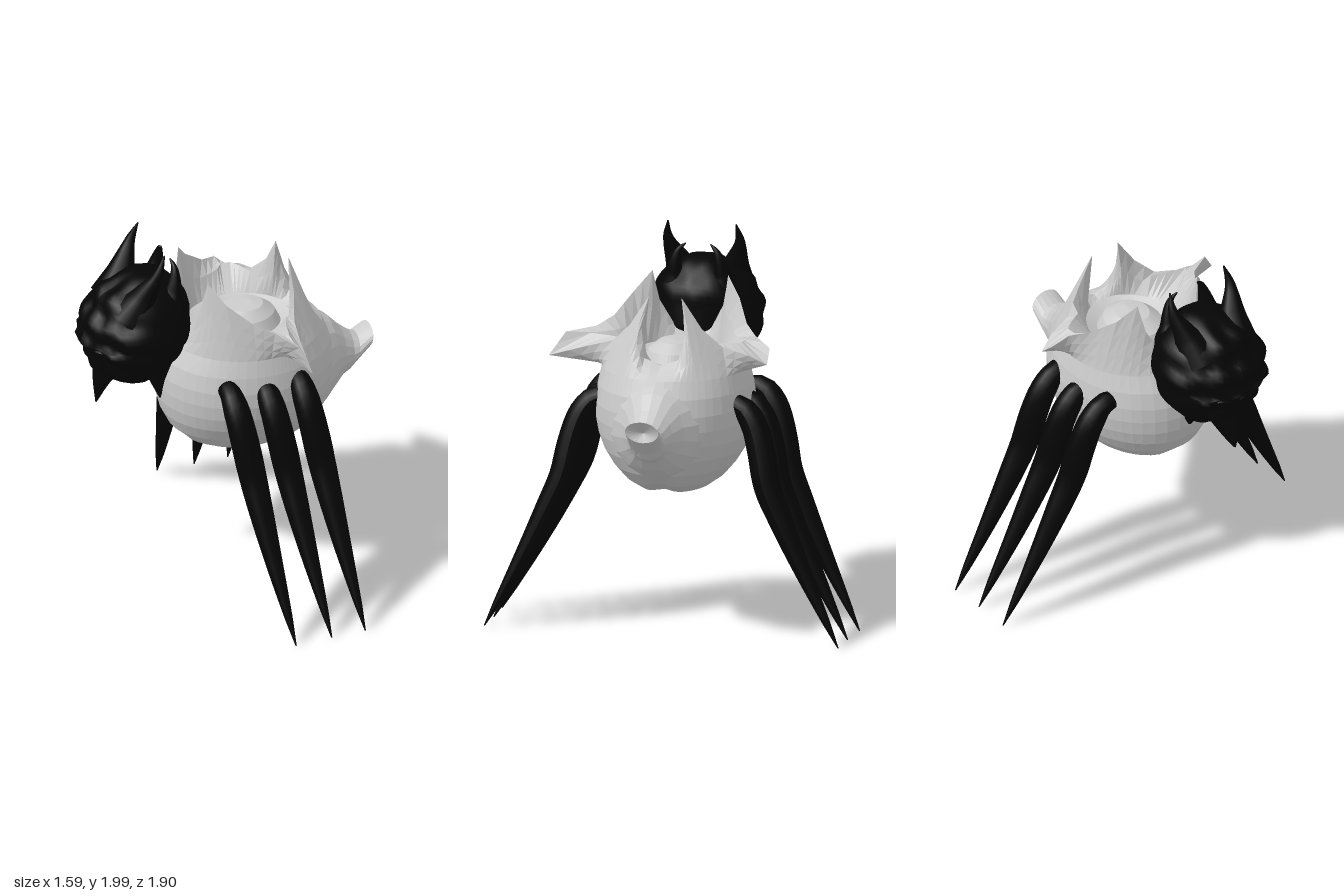
import * as THREE from 'three';

const V = (x, y, z) => new THREE.Vector3(x, y, z);
const grey = new THREE.MeshStandardMaterial({ color: 0xcccccc, flatShading: true, side: THREE.DoubleSide });
const black = new THREE.MeshStandardMaterial({ color: 0x050505 });

// Skin a list of closed rings, all with the same number of points
function skin(rings) {
  const n = rings[0].length, pos = [], index = [];
  rings.forEach(ring => ring.forEach(p => pos.push(p.x, p.y, p.z)));
  for (let r = 0; r < rings.length - 1; r++) {
    for (let c = 0; c < n; c++) {
      const a = r * n + c, b = r * n + (c + 1) % n;
      index.push(a, a + n, b, b, a + n, b + n);
    }
  }
  const g = new THREE.BufferGeometry();
  g.setAttribute('position', new THREE.Float32BufferAttribute(pos, 3));
  g.setIndex(index);
  g.computeVertexNormals();
  return g;
}

// Curved limb whose radius follows the given list along its length
function limb(points, radii, segments = 24, sides = 12) {
  const curve = new THREE.CatmullRomCurve3(points);
  const g = new THREE.TubeGeometry(curve, segments, 1, sides);
  const p = g.attributes.position, v = V(0, 0, 0);
  for (let i = 0; i < p.count; i++) {
    const u = Math.floor(i / (sides + 1)) / segments;
    const f = u * (radii.length - 1), k = Math.min(Math.floor(f), radii.length - 2);
    const r = THREE.MathUtils.lerp(radii[k], radii[k + 1], f - k);
    const c = curve.getPointAt(u);
    v.fromBufferAttribute(p, i).sub(c).multiplyScalar(r).add(c);
    p.setXYZ(i, v.x, v.y, v.z);
  }
  g.computeVertexNormals();
  return g;
}

function add(group, name, geometry, material) {
  const mesh = new THREE.Mesh(geometry, material);
  mesh.name = name;
  group.add(mesh);
}

// Spiked rim of the shell, half way round: [angle on body, x, y, z]
const RIM = [
  [0, 0.40, 1.44, 0], [14, 0.385, 1.47, 0.09], [24, 0.35, 1.62, 0.115], [33, 0.31, 1.78, 0.085],
  [45, 0.30, 1.62, 0.19], [60, 0.26, 1.52, 0.29], [70, 0.24, 1.48, 0.42], [77, 0.22, 1.41, 0.64],
  [83, 0.18, 1.53, 0.56], [90, 0.1, 1.55, 0.42], [101, 0.01, 1.59, 0.35], [115, -0.11, 1.69, 0.28],
  [128, -0.18, 1.79, 0.2], [142, -0.21, 1.63, 0.17], [160, -0.24, 1.5, 0.1], [180, -0.25, 1.46, 0],
];

function shellGeometry() {
  // Mirror the rim, with a shorter blunt spike on the far side
  const blunt = { 77: [0.21, 1.43, -0.51], 83: [0.135, 1.5, -0.505] };
  const back = RIM.slice(1, -1).reverse().map(([a, x, y, z]) => [360 - a, ...(blunt[a] ?? [x, y, -z])]);
  const control = [...RIM, ...back, [360, ...RIM[0].slice(1)]];
  const columns = [];
  for (let i = 0; i < control.length - 1; i++) {
    for (const t of [0, 0.5]) {
      columns.push(control[i].map((v, k) => THREE.MathUtils.lerp(v, control[i + 1][k], t)));
    }
  }
  const oval = (cx, rx, y, rz) => columns.map(([a]) => {
    const t = a * Math.PI / 180;
    return V(cx + rx * Math.cos(t), y, rz * Math.sin(t));
  });
  // Rounded belly: [height, half length, half width]
  const belly = [[0.74, 0, 0], [0.735, 0.14, 0.1], [0.76, 0.25, 0.18], [0.81, 0.34, 0.25], [0.88, 0.405, 0.31],
    [0.96, 0.445, 0.36], [1.04, 0.465, 0.39], [1.12, 0.472, 0.405], [1.2, 0.47, 0.406], [1.29, 0.45, 0.395],
    [1.38, 0.405, 0.375]];
  const rings = belly.map(([y, rx, rz]) => oval(0.1, rx, y, rz));
  // Crease along the underside
  rings.slice(0, 4).forEach(ring => ring.forEach(p => { p.y += 0.02 * Math.exp(-((p.z / 0.05) ** 2)); }));
  // Collar rising to the rim
  const shoulder = rings[rings.length - 1];
  const edge = columns.map(c => V(c[1], c[2], c[3]));
  for (const t of [0.3, 0.65, 1]) rings.push(shoulder.map((p, i) => p.clone().lerp(edge[i], t)));
  // Inner wall, kept high behind the side spikes, then floor and central dome
  const wall = oval(0.07, 0.28, 1.43, 0.23);
  rings.push(edge.map((p, i) => {
    const q = p.clone().lerp(wall[i], 0.5);
    if (Math.abs(p.z) > 0.25) q.y = Math.max(q.y, 1.53);
    return q;
  }));
  rings.push(wall, oval(0.09, 0.2, 1.4, 0.17), oval(0.09, 0.17, 1.46, 0.14),
    oval(0.1, 0.1, 1.505, 0.085), oval(0.14, 0, 1.515, 0));
  return skin(rings);
}

function tailGeometry() {
  // Sections: [x at middle, height, half height, half width, lean of the section]
  const sections = [[0.34, 1.12, 0.31, 0.325, 0], [0.43, 1.125, 0.29, 0.282, 0], [0.5, 1.12, 0.25, 0.222, 0],
    [0.56, 1.125, 0.205, 0.165, 0], [0.62, 1.118, 0.14, 0.122, 0.005], [0.67, 1.107, 0.104, 0.1, 0.01],
    [0.7, 1.118, 0.078, 0.096, 0.015], [0.775, 1.175, 0.058, 0.088, 0.015], [0.74, 1.165, 0, 0, 0]];
  return skin(sections.map(([x, y, h, w, lean]) => Array.from({ length: 18 }, (_, i) => {
    const a = i / 18 * Math.PI * 2;
    return V(x + lean * Math.cos(a), y + h * Math.cos(a), -w * Math.sin(a));
  })));
}

// Lumpy head, most wrinkled on its outer face
function headGeometry() {
  const g = new THREE.SphereGeometry(1, 48, 36);
  const p = g.attributes.position;
  for (let i = 0; i < p.count; i++) {
    const x = p.getX(i), y = p.getY(i), z = p.getZ(i);
    const rough = 0.015 + 0.035 * Math.max(0, -x);
    const k = 1 + rough * (Math.sin(13 * y + 4 * x) + Math.cos(14 * z + 3 * y) * Math.sin(9 * y));
    const tilt = y > 0 ? 0.05 * x : 0.1 * Math.max(0, x) * -y;
    p.setXYZ(i, -0.505 + 0.285 * k * x, 1.52 + 0.3 * k * y + tilt, 0.295 * k * z);
  }
  g.computeVertexNormals();
  return g;
}

export function createModel() {
  const model = new THREE.Group();
  model.name = 'creature';

  add(model, 'shell', shellGeometry(), grey);
  add(model, 'tail', tailGeometry(), grey);

  const head = new THREE.Group();
  head.name = 'head';
  model.add(head);
  add(head, 'skull', headGeometry(), black);
  add(head, 'neck', limb([V(-0.335, 1.05, 0), V(-0.36, 1.2, 0), V(-0.39, 1.4, 0)], [0.03, 0.08, 0.14]), black);
  add(head, 'jawSpike', limb([V(-0.62, 1.36, 0), V(-0.68, 1.24, 0), V(-0.715, 1.1, 0)], [0.11, 0.05, 0.003]), black);

  for (const s of [1, -1]) {
    // Horns
    add(head, 'tallHorn', limb([V(-0.57, 1.64, s * 0.12), V(-0.51, 1.77, s * 0.155), V(-0.45, 1.9, s * 0.19),
      V(-0.41, 2.0, s * 0.18)], [0.12, 0.07, 0.032, 0.003]), black);
    add(head, 'smallHorn', limb([V(-0.36, 1.66, s * 0.13), V(-0.33, 1.8, s * 0.12), V(-0.325, 1.87, s * 0.1),
      V(-0.335, 1.905, s * 0.065)], [0.08, 0.045, 0.025, 0.003]), black);

    // Three pointed legs on each side
    [[0, 0], [0.2, -0.02], [0.385, -0.01]].forEach(([dx, dy]) => {
      const path = [[-0.13, 1.235, 0.34], [-0.13, 1.225, 0.4], [-0.12, 1.14, 0.465], [-0.1, 1.0, 0.51],
        [-0.075, 0.82, 0.55], [-0.06, 0.66, 0.62], [-0.035, 0.4, 0.745], [0.005, 0.01, 0.945]];
      const leg = limb(path.map(([x, y, z]) => V(x + dx, y + dy * y, s * (z + (dx ? -0.01 : 0)))),
        [0.05, 0.068, 0.072, 0.073, 0.069, 0.062, 0.053, 0.043, 0.032, 0.02, 0.003], 36, 14);
      add(model, s > 0 ? 'frontLeg' : 'backLeg', leg, black);
    });
  }
  return model;
}
